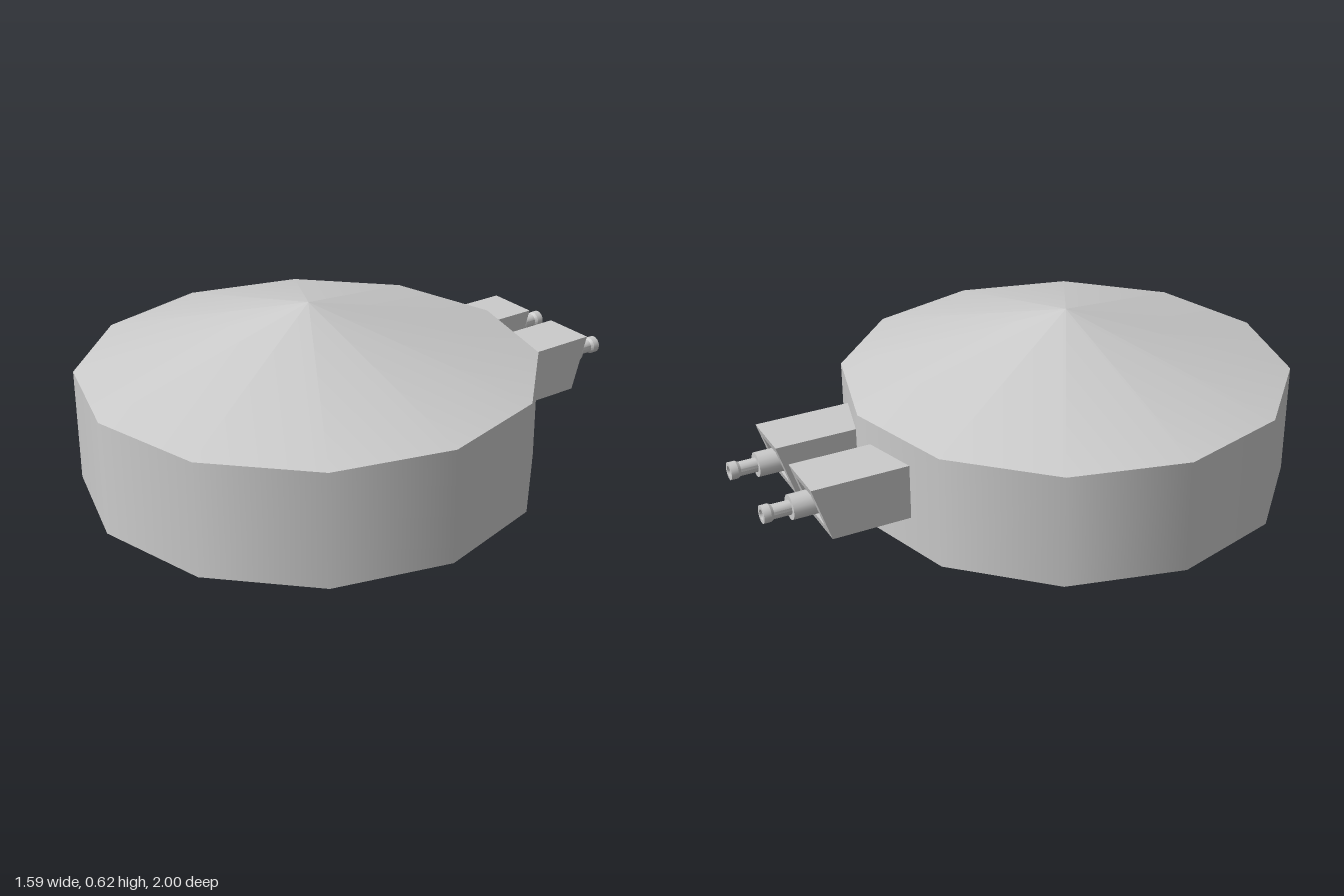
import * as THREE from 'three';
import { toCreasedNormals } from 'three/addons/utils/BufferGeometryUtils.js';

const CENTER_Z = 0.203, RADIUS = 0.797, WALL = 0.4, PEAK = 0.62;
const grey = new THREE.MeshStandardMaterial({ color: 0xcccccc, side: THREE.DoubleSide });

function add(parent, name, geometry, x = 0, y = 0, z = 0) {
  const mesh = new THREE.Mesh(geometry, grey);
  mesh.name = name;
  mesh.position.set(x, y, z);
  parent.add(mesh);
  return mesh;
}

function square(path, h) {
  path.moveTo(-h, -h);
  path.lineTo(h, -h);
  path.lineTo(h, h);
  path.lineTo(-h, h);
  path.closePath();
  return path;
}

// Square tube whose rear end is raked back towards the top
function housingGeometry() {
  const shape = square(new THREE.Shape(), 0.0975);
  shape.holes.push(square(new THREE.Path(), 0.062));
  const geo = new THREE.ExtrudeGeometry(shape, { depth: 0.31, bevelEnabled: false });
  const p = geo.attributes.position;
  for (let i = 0; i < p.count; i++) {
    // depth runs towards -z after the shift; only the far end is sheared
    if (p.getZ(i) < 0.01) p.setZ(i, -0.833 - p.getY(i) * 0.32);
    else p.setZ(i, -0.523);
  }
  geo.computeVertexNormals();
  return geo;
}

// Stepped barrel with a flared, hollow muzzle; y is the distance behind the origin
function barrelGeometry() {
  const profile = [
    [0, 0.68], [0.043, 0.68], [0.043, 0.905], [0.025, 0.905], [0.025, 0.965],
    [0.031, 0.975], [0.031, 1], [0.018, 1], [0.018, 0.96], [0, 0.96],
  ].map(([r, y]) => new THREE.Vector2(r, y));
  const geo = toCreasedNormals(new THREE.LatheGeometry(profile, 16), 0.5);
  return geo.rotateX(-Math.PI / 2);
}

export function createModel() {
  const model = new THREE.Group();
  model.name = 'turret';

  // Twelve-sided drum, open underneath, with a shallow conical roof
  add(model, 'drumWall',
    new THREE.CylinderGeometry(RADIUS, RADIUS, WALL, 12, 1, true), 0, WALL / 2, CENTER_Z);
  add(model, 'roof',
    new THREE.ConeGeometry(RADIUS, PEAK - WALL, 12, 1, true), 0, (WALL + PEAK) / 2, CENTER_Z);

  // Pair of rear housings, each holding a barrel
  for (const side of [-1, 1]) {
    const unit = new THREE.Group();
    unit.name = side > 0 ? 'leftBarrelUnit' : 'rightBarrelUnit';
    unit.position.set(side * 0.158, 0.218, 0);
    add(unit, 'housing', housingGeometry());
    add(unit, 'recessFloor', new THREE.BoxGeometry(0.124, 0.124, 0.177), 0, 0, -0.6125);
    add(unit, 'barrel', barrelGeometry());
    model.add(unit);
  }
  return model;
}
